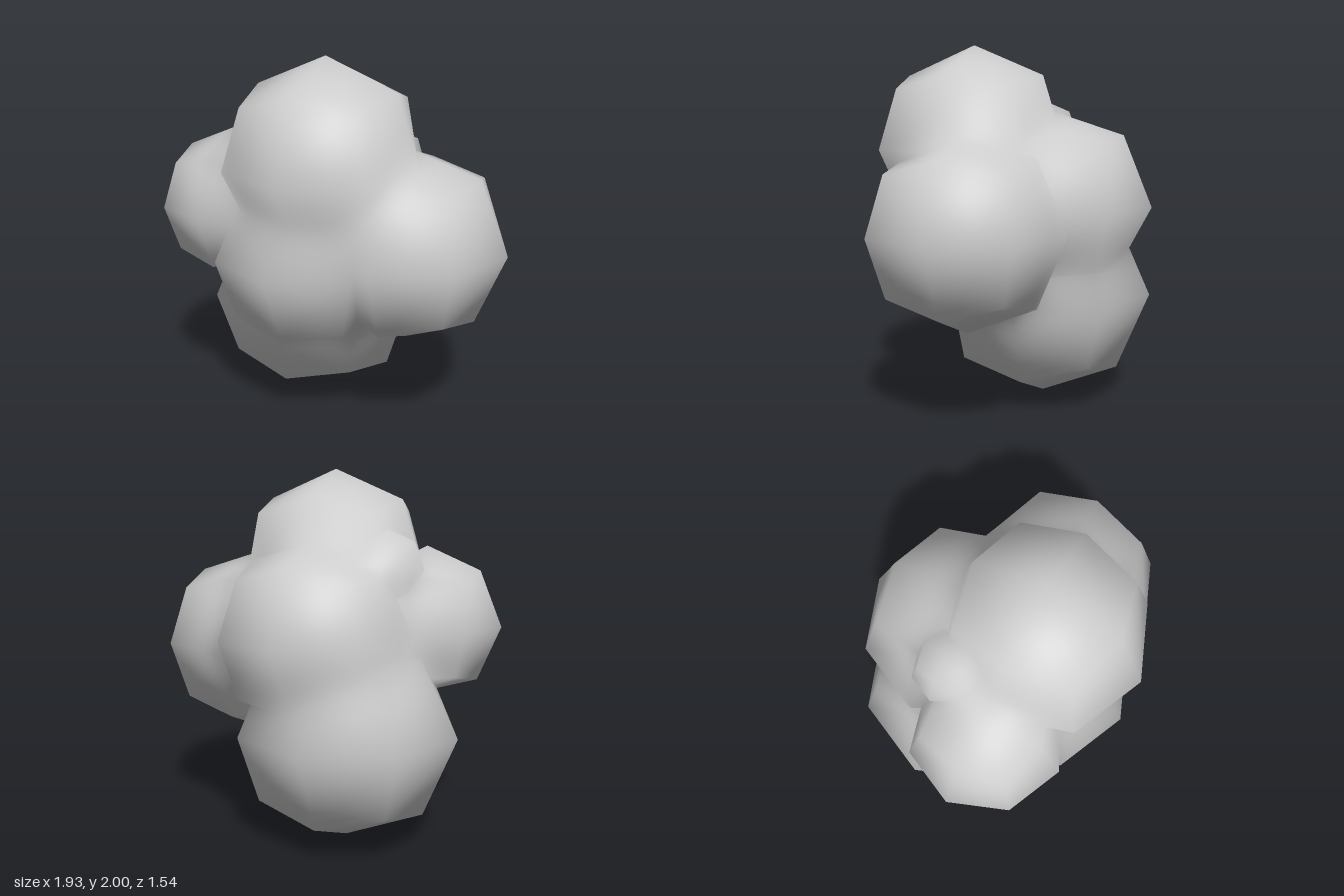
import * as THREE from 'three';

// Blobs of the cluster: name, centre, radius
const BLOBS = [
  ['topBlob', [0, 1.44, 0.21], 0.56],
  ['leftBlob', [0.42, 1.03, 0.1], 0.545],
  ['rightBlob', [-0.545, 1.17, 0.2], 0.42],
  ['bottomBlob', [-0.215, 0.62, -0.13], 0.62],
  ['backBlob', [-0.085, 1.13, -0.23], 0.545],
  ['frontBlob', [-0.075, 0.945, 0.21], 0.55],
  ['smallBlob', [-0.42, 1.49, -0.08], 0.2],
].map(([name, c, radius]) => ({ name, centre: new THREE.Vector3(...c), radius }));

const SPLIT = 8; // subdivisions per facet, used only to blend the shading

// Normal that flows smoothly from one blob into the next
function blendedNormal(point) {
  const normal = new THREE.Vector3();
  for (const { centre, radius } of BLOBS) {
    const away = point.clone().sub(centre);
    const weight = Math.exp(-12 * (away.length() - radius));
    normal.addScaledVector(away.normalize(), weight);
  }
  return normal.normalize();
}

// Corners buried in a neighbour are drawn in, so the facets dip towards the joint
function settle(corner, blob) {
  const buried = BLOBS.some((other) => other !== blob
    && corner.distanceTo(other.centre) < 0.92 * other.radius);
  return buried ? corner.lerp(blob.centre, 0.07) : corner;
}

// Rounded cube of 2 x 2 facets a side, finely split to carry blended normals
function blobGeometry(blob) {
  const source = new THREE.BoxGeometry(1, 1, 1, 2, 2, 2).toNonIndexed().attributes.position;
  const positions = [];
  const normals = [];
  const add = (p) => {
    positions.push(p.x, p.y, p.z);
    normals.push(...blendedNormal(p).toArray());
  };
  for (let t = 0; t < source.count; t += 3) {
    const [a, b, c] = [0, 1, 2].map((k) => settle(
      new THREE.Vector3().fromBufferAttribute(source, t + k)
        .setLength(blob.radius).add(blob.centre), blob));
    const at = (i, j) => a.clone()
      .addScaledVector(b.clone().sub(a), i / SPLIT)
      .addScaledVector(c.clone().sub(a), j / SPLIT);
    for (let i = 0; i < SPLIT; i++) {
      for (let j = 0; j < SPLIT - i; j++) {
        [at(i, j), at(i + 1, j), at(i, j + 1)].forEach(add);
        if (i + j < SPLIT - 1) [at(i + 1, j), at(i + 1, j + 1), at(i, j + 1)].forEach(add);
      }
    }
  }
  const geometry = new THREE.BufferGeometry();
  geometry.setAttribute('position', new THREE.Float32BufferAttribute(positions, 3));
  geometry.setAttribute('normal', new THREE.Float32BufferAttribute(normals, 3));
  return geometry;
}

export function createModel() {
  const group = new THREE.Group();
  group.name = 'blobCluster';
  const material = new THREE.MeshStandardMaterial({ color: 0xcccccc });
  for (const blob of BLOBS) {
    const mesh = new THREE.Mesh(blobGeometry(blob), material);
    mesh.name = blob.name;
    group.add(mesh);
  }
  return group;
}
